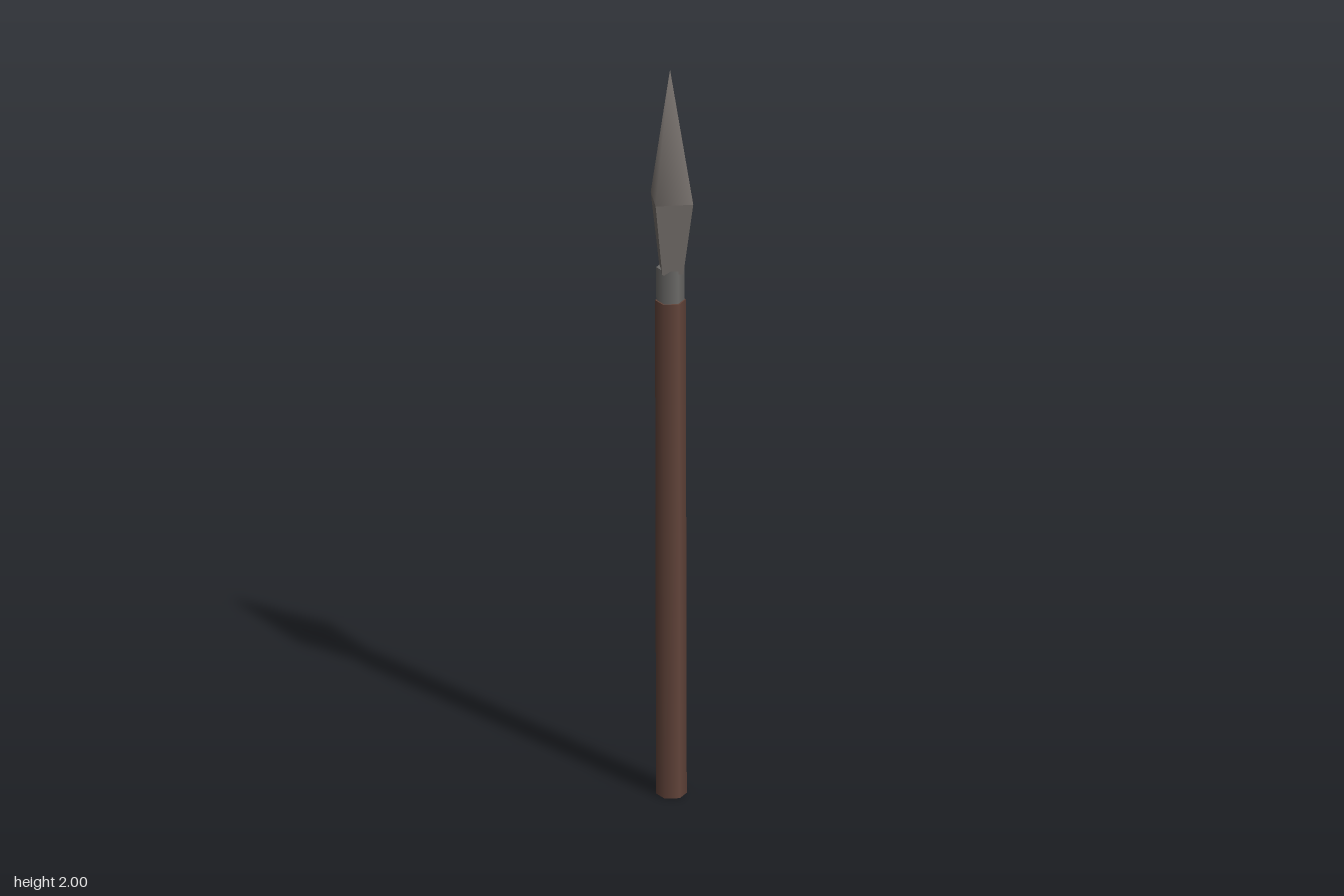
import * as THREE from 'three';
import { mergeVertices } from 'three/addons/utils/BufferGeometryUtils.js';

const mat = (name, color) => {
  const m = new THREE.MeshStandardMaterial({ color });
  m.name = name;
  return m;
};

// Upright prism whose axis leans from the [x, y, z] of its base to that of its top
function leaningPrism(base, top, rBase, rTop, sides, turn, open = false) {
  const h = top[1] - base[1];
  const g = new THREE.CylinderGeometry(rTop, rBase, h, sides, 1, open, turn);
  const p = g.attributes.position;
  for (let i = 0; i < p.count; i++) {
    const t = p.getY(i) / h + 0.5;
    p.setXYZ(i,
      p.getX(i) + base[0] + (top[0] - base[0]) * t,
      base[1] + h * t,
      p.getZ(i) + base[2] + (top[2] - base[2]) * t);
  }
  return g;
}

export function createModel() {
  const group = new THREE.Group();
  const wood = mat('dark wood', 0x62443a);
  const steel = mat('spearhead steel', 0x736d69);
  const iron = mat('core iron', 0x6b6a68);
  const add = (name, geometry, material) => {
    const mesh = new THREE.Mesh(geometry, material);
    mesh.name = name;
    group.add(mesh);
  };

  // Hexagonal wooden shaft, one flat side facing -x -z
  const hexTurn = Math.PI / 12;
  add('shaft', leaningPrism([-0.003, 0, -0.001], [-0.0045, 1.36, 0.001], 0.039, 0.039, 6, hexTurn), wood);

  // Core: the neck above the shaft, leaning so that one side shows as a strip at the back
  add('core', leaningPrism([-0.0063, 0.002, -0.0043], [-0.0058, 1.45, -0.0003], 0.036, 0.036, 6, hexTurn), iron);

  // Four-sided head: flat lower facets, softly shaded point
  const belt = [-0.001, 1.64, -0.001];
  const turn = 0.07;
  const lower = leaningPrism([-0.002, 1.44, 0], belt, 0.038, 0.068, 4, turn).toNonIndexed();
  lower.computeVertexNormals();
  add('headBase', lower, steel);

  let point = leaningPrism(belt, [0.003, 2, 0.011], 0.068, 0, 4, turn, true);
  point.deleteAttribute('normal');
  point.deleteAttribute('uv');
  point = mergeVertices(point);
  point.computeVertexNormals();
  add('headPoint', point, steel);

  return group;
}
